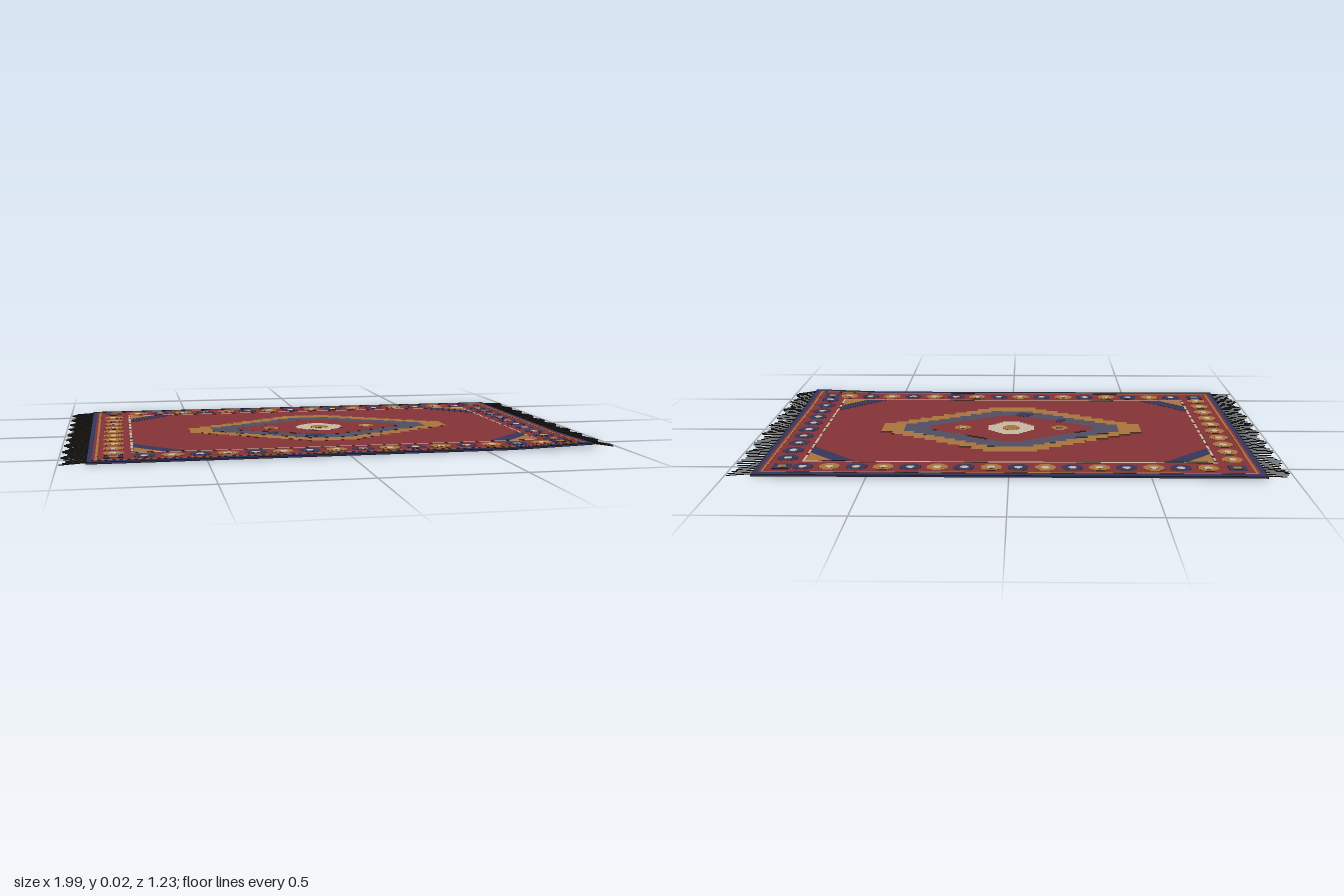
import * as THREE from 'three';

const mat = (name, color) => {
  const m = new THREE.MeshStandardMaterial({ color });
  m.name = name;
  return m;
};

const MID = 0.006;        // height of the middle of the weave
const BASE = 0.007;       // thickness of the backing
const STEP = 0.0004;      // how far each pattern layer stands out on both sides
const thick = (layer) => BASE + 2 * STEP * layer;

// One corner of the rug curls up a little
const lift = (x, z) => 0.01 * Math.max(0, x + z - 1.21) / 0.31;

function curl(geo) {
  const p = geo.attributes.position;
  for (let i = 0; i < p.count; i++) p.setY(i, p.getY(i) + lift(p.getX(i), p.getZ(i)));
  geo.computeVertexNormals();
  return geo;
}

export function createModel() {
  const red = mat('madder red', 0x853336);
  const navy = mat('navy', 0x35355a);
  const ochre = mat('ochre', 0xa8733c);
  const slate = mat('slate blue', 0x504d62);
  const cream = mat('cream', 0xc6b79f);
  const thread = mat('fringe thread', 0x453e38);

  const rug = new THREE.Group();
  rug.name = 'rug';
  const section = (name) => {
    const g = new THREE.Group();
    g.name = name;
    rug.add(g);
    return g;
  };
  const add = (parent, name, geo, material) => {
    const mesh = new THREE.Mesh(curl(geo), material);
    mesh.name = name;
    parent.add(mesh);
  };

  // Woven areas go through the whole rug, so the pattern shows on both sides
  const panel = (parent, name, x, z, w, d, layer, material) => {
    const geo = new THREE.BoxGeometry(w, thick(layer), d, Math.ceil(w / 0.025), 1, Math.ceil(d / 0.025));
    add(parent, name, geo.translate(x, MID, z), material);
  };
  const patch = (parent, name, points, layer, material) => {
    const shape = new THREE.Shape(points.map(([x, z]) => new THREE.Vector2(x, z)));
    const h = thick(layer);
    const geo = new THREE.ExtrudeGeometry(shape, { depth: h, bevelEnabled: false });
    add(parent, name, geo.rotateX(Math.PI / 2).translate(0, MID + h / 2, 0), material);
  };
  const dot = (parent, name, x, z, r, layer, material, sides = 8) => {
    const geo = new THREE.CylinderGeometry(r, r, thick(layer), sides);
    add(parent, name, geo.rotateY(Math.PI / sides).translate(x, MID, z), material);
  };

  // Backing and main field
  const weave = section('weave');
  panel(weave, 'navyEdge', 0, 0, 1.81, 1.23, 0, navy);
  panel(weave, 'redField', 0, 0, 1.772, 1.172, 1, red);

  // Border lines: thin ochre outside, cream inside
  const lines = section('borderLines');
  for (const s of [-1, 1]) {
    panel(lines, 'outerLine', 0, s * 0.58, 1.754, 0.008, 2, ochre);
    panel(lines, 'outerLine', s * 0.873, 0, 0.008, 1.16, 2, ochre);
    panel(lines, 'innerLine', 0, s * 0.459, 1.51, 0.009, 2, cream);
    // The short sides are worn into stitches
    for (let i = 0; i < 12; i++) {
      const length = 0.055 + 0.016 * Math.sin(i * 2.3 + s);
      panel(lines, 'innerStitch', s * 0.75, -0.418 + i * 0.076, 0.009, length, 2, cream);
    }
  }

  // Row of rosettes around the border
  const border = section('borderRosettes');
  const rosette = (x, z, petals, heart) => {
    dot(border, 'rosettePetals', x, z, 0.04, 2, petals);
    dot(border, 'rosetteHeart', x, z, 0.016, 3, heart);
  };
  for (let i = 0; i < 16; i++) {
    const x = -0.71 + i * 0.0967;
    rosette(x, -0.52, i % 2 ? navy : ochre, cream);
    rosette(x, 0.52, i % 2 ? ochre : navy, cream);
  }
  for (let i = 0; i < 10; i++) {
    const z = -0.417 + i * 0.0967;
    rosette(-0.815, z, ochre, cream);
    rosette(0.815, z, navy, cream);
  }
  for (const sx of [-1, 1]) {
    for (const sz of [-1, 1]) {
      panel(border, 'cornerSquare', sx * 0.815, sz * 0.52, 0.064, 0.064, 3, navy);
      panel(border, 'cornerHeart', sx * 0.815, sz * 0.52, 0.03, 0.03, 4, ochre);
    }
  }

  // Triangles in the corners of the field
  const corners = section('cornerTriangles');
  for (const sx of [-1, 1]) {
    for (const sz of [-1, 1]) {
      const triangle = (name, leg, layer, material) => patch(corners, name, [
        [sx * 0.743, sz * 0.453], [sx * (0.743 - leg), sz * 0.453], [sx * 0.743, sz * (0.453 - leg)],
      ], layer, material);
      triangle('navyTriangle', 0.18, 2, navy);
      triangle('ochreTriangle', 0.1, 3, ochre);
    }
  }

  // Stepped diamond: one quarter staircase, mirrored round
  const stepped = (a, b, tipX, tipZ, n) => {
    const quarter = [];
    for (let i = 0; i <= n; i++) {
      const x = tipX + (a - tipX) * i / n;
      const z = b + (tipZ - b) * i / n;
      if (i > 0) quarter.push([x, b + (tipZ - b) * (i - 1) / n]);
      quarter.push([x, z]);
    }
    const back = [...quarter].reverse();
    return [
      ...quarter,
      ...back.map(([x, z]) => [x, -z]),
      ...quarter.map(([x, z]) => [-x, -z]),
      ...back.map(([x, z]) => [-x, z]),
    ];
  };

  // Central medallion
  const medallion = section('medallion');
  patch(medallion, 'ochreDiamond', stepped(0.52, 0.327, 0.055, 0.035, 10), 2, ochre);
  patch(medallion, 'slateDiamond', stepped(0.43, 0.262, 0.045, 0.03, 9), 3, slate);
  patch(medallion, 'redDiamond', stepped(0.325, 0.19, 0.03, 0.02, 12), 4, red);
  patch(medallion, 'creamDiamond', stepped(0.092, 0.092, 0.02, 0.02, 5), 5, cream);
  dot(medallion, 'ochreHeart', 0, 0, 0.037, 6, ochre);
  for (const s of [-1, 1]) {
    dot(medallion, 'sideDot', s * 0.195, 0, 0.035, 5, ochre);
    dot(medallion, 'sideDotHeart', s * 0.195, 0, 0.015, 6, s < 0 ? slate : cream);
  }
  // Mended spots in the slate band
  patch(medallion, 'navyMend', [[-0.06, 0.165], [-0.01, 0.19], [-0.035, 0.245], [-0.09, 0.215]], 4.5, navy);
  patch(medallion, 'navyMend', [[-0.2, 0.085], [-0.175, 0.1], [-0.2, 0.145], [-0.225, 0.125]], 4.5, navy);

  // Fringe: thin wavy threads along both short ends
  const fringe = section('fringe');
  const count = 58;
  for (const s of [-1, 1]) {
    for (let i = 0; i < count; i++) {
      const z = -0.597 + 1.194 * i / (count - 1);
      const wobble = Math.sin(i * 12.9898 + s * 4.1);
      const length = 0.084 + 0.011 * Math.sin(i * 7.31 + s);
      const rise = lift(s * 0.9, z);
      const points = [0, 0.35, 0.7, 1].map((t) => new THREE.Vector3(
        s * (0.9 + length * t),
        MID - 0.004 * t + rise * (1 - t),
        z + wobble * 0.007 * t + 0.003 * Math.sin(t * 5 + i * 1.7) * t,
      ));
      const geo = new THREE.TubeGeometry(new THREE.CatmullRomCurve3(points), 6, 0.002, 4);
      const strand = new THREE.Mesh(geo, thread);
      strand.name = 'fringeThread';
      fringe.add(strand);
    }
  }

  return rug;
}
